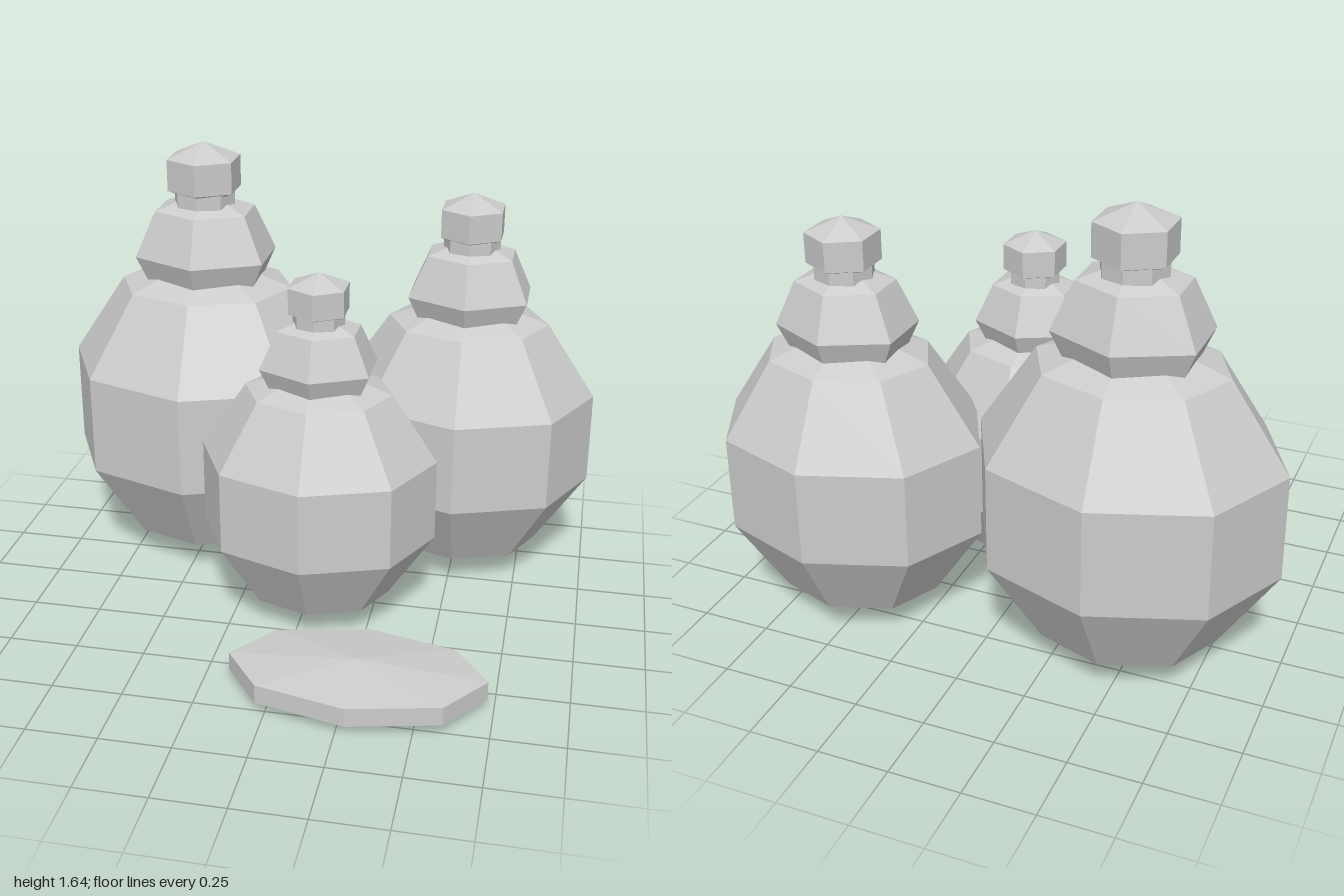
import * as THREE from 'three';

const material = new THREE.MeshStandardMaterial({ color: 0xcccccc, flatShading: true });

// Low-poly ellipsoid with the given radii, side count and number of bands
function blob(name, sides, bands, rx, ry, rz, y, turn = 0) {
  const geometry = new THREE.SphereGeometry(1, sides, bands);
  geometry.rotateY(turn);
  geometry.scale(rx, ry, rz);
  const mesh = new THREE.Mesh(geometry, material);
  mesh.name = name;
  mesh.position.y = y;
  return mesh;
}

// Full-size bottle: round belly, faceted shoulder, short neck, hexagonal stopper
function createBottle(name) {
  const bottle = new THREE.Group();
  bottle.name = name;
  const quarter = Math.PI / 2;

  const neck = new THREE.Mesh(new THREE.CylinderGeometry(0.115, 0.115, 0.15, 8), material);
  neck.name = 'neck';
  neck.position.y = 1.425;

  bottle.add(
    blob('belly', 8, 5, 0.56, 0.61, 0.467, 0.61),
    blob('shoulder', 6, 4, 0.277, 0.24, 0.23, 1.222, quarter),
    neck,
    blob('stopper', 6, 3, 0.161, 0.116, 0.161, 1.527, quarter)
  );
  return bottle;
}

export function createModel() {
  const model = new THREE.Group();
  model.name = 'bottlesAndDish';

  // Three bottles, each a scaled copy: [name, scale, x, y, z]
  const bottles = [
    ['largeBottle', 1, -0.467, 0, -0.367],
    ['mediumBottle', 0.9, 0.52, 0.007, -0.436],
    ['smallBottle', 0.8, 0.05, 0.01, 0.078],
  ];
  for (const [name, scale, x, y, z] of bottles) {
    const bottle = createBottle(name);
    bottle.scale.setScalar(scale);
    bottle.position.set(x, y, z);
    model.add(bottle);
  }

  // Flat oval dish lying in front
  const dish = blob('dish', 8, 3, 0.513, 0.069, 0.279, 0.075);
  dish.position.x = 0.283;
  dish.position.z = 0.593;
  model.add(dish);

  return model;
}
